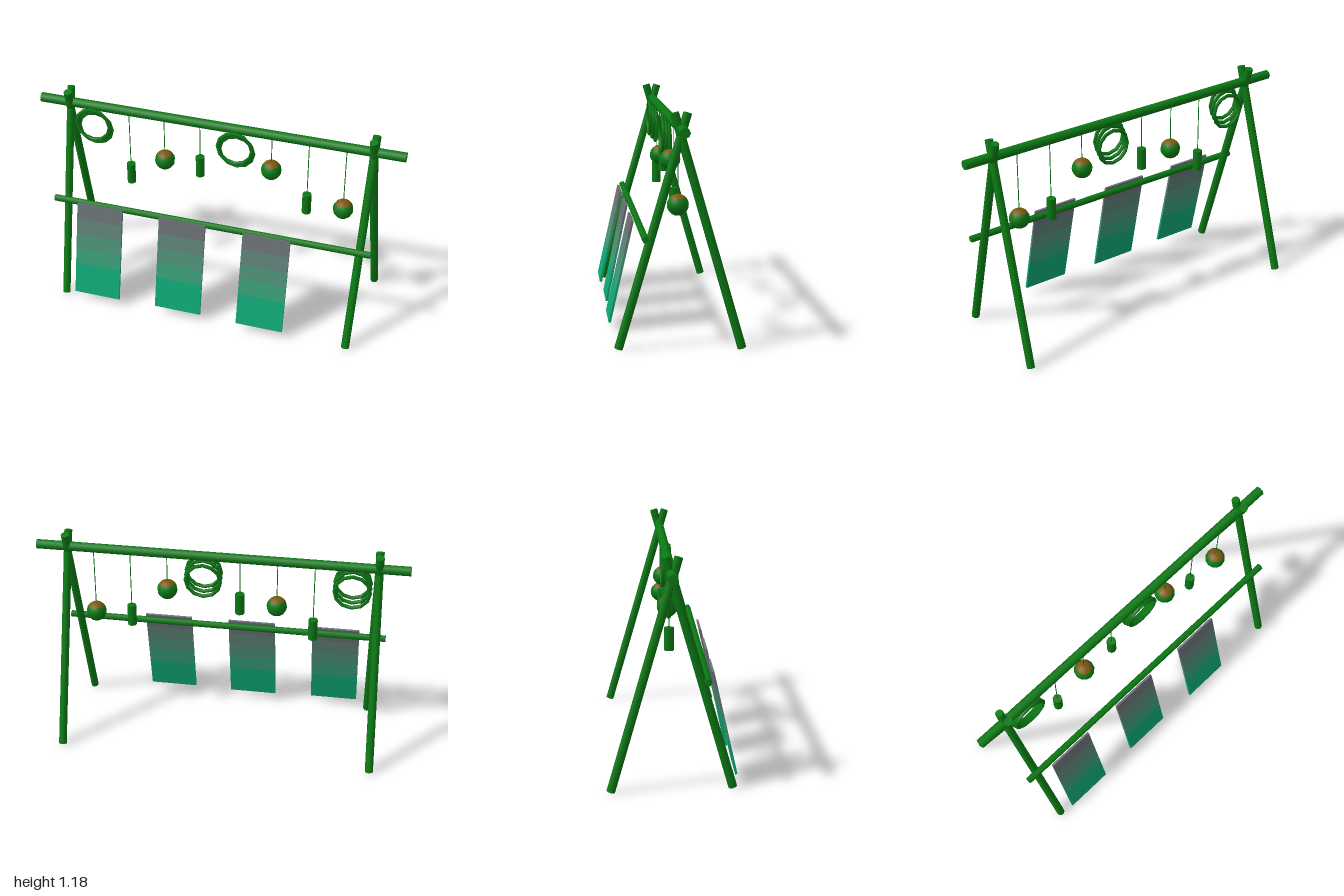
import * as THREE from 'three';

const GREEN = 0x0b7a14, BROWN = 0x7a5a10;
const AXIS_Z = -0.004; // plane of the ridge beam and its ornaments

const material = (color) => new THREE.MeshStandardMaterial({ color });
const wood = material(GREEN);

function add(parent, name, geometry, mat = wood) {
  const mesh = new THREE.Mesh(geometry, mat);
  mesh.name = name;
  parent.add(mesh);
  return mesh;
}

// Round pole between two points
function pole(parent, name, from, to, radius, sides = 8, mat = wood) {
  const a = new THREE.Vector3(...from), b = new THREE.Vector3(...to);
  const dir = b.clone().sub(a);
  const mesh = add(parent, name, new THREE.CylinderGeometry(radius, radius, dir.length(), sides), mat);
  mesh.position.copy(a).add(b).multiplyScalar(0.5);
  mesh.quaternion.setFromUnitVectors(new THREE.Vector3(0, 1, 0), dir.normalize());
  return mesh;
}

// Cord from the beam down to a hanging ornament
function cord(parent, x, y) {
  pole(parent, 'cord', [x, y, AXIS_Z], [x, 1.09, AXIS_Z], 0.0025, 5);
}

// Round ornament with a brown crown
function ball(parent, x, y) {
  const group = new THREE.Group();
  group.name = 'hangingBall';
  const r = 0.055, split = Math.PI * 0.28;
  add(group, 'ballBody', new THREE.SphereGeometry(r, 12, 7, 0, Math.PI * 2, split, Math.PI - split));
  add(group, 'ballCrown', new THREE.SphereGeometry(r, 12, 3, 0, Math.PI * 2, 0, split), material(BROWN));
  group.position.set(x, y, AXIS_Z);
  parent.add(group);
  cord(parent, x, y + r * 0.9);
}

// Small cylindrical ornament
function chime(parent, x, y) {
  pole(parent, 'hangingCylinder', [x, y - 0.06, AXIS_Z], [x, y + 0.06, AXIS_Z], 0.025, 8);
  cord(parent, x, y + 0.05);
}

// Bundle of three hoops, each lower and further back than the last
function hoops(parent, x) {
  const group = new THREE.Group();
  group.name = 'hoopBundle';
  for (let i = -1; i <= 1; i++) {
    const hoop = add(group, 'hoop', new THREE.TorusGeometry(0.094, 0.0105, 5, 12));
    hoop.position.set(0, -i * 0.02, -i * 0.018);
  }
  group.position.set(x, 0.967, 0.003);
  parent.add(group);
}

// Leaning cloth, shaded in bands from grey at the top to teal at the bottom
function cloth(parent, x, bottomZ) {
  const group = new THREE.Group();
  group.name = 'clothPanel';
  const width = 0.262, length = 0.547, bands = 6, h = length / bands;
  const top = new THREE.Color(0x6a7076), bottom = new THREE.Color(0x0fa877);
  for (let i = 0; i < bands; i++) {
    const color = top.clone().lerp(bottom, Math.min(1, i / (bands - 2)));
    const band = add(group, 'clothBand', new THREE.BoxGeometry(width, h, 0.012), material(color));
    band.position.y = length / 2 - (i + 0.5) * h;
  }
  group.position.set(x, 0.315, (0.204 + bottomZ) / 2);
  group.rotation.x = -Math.atan2(bottomZ - 0.204, 0.536);
  parent.add(group);
}

export function createModel() {
  const model = new THREE.Group();
  model.name = 'hangingRack';

  // Crossed leg pairs at each end
  for (const side of [-1, 1]) {
    const backX = side < 0 ? -0.86 : 0.848;
    pole(model, 'frontLeg', [side * 0.81, 0.006, 0.302], [side * 0.836, 1.175, -0.036], 0.022);
    pole(model, 'backLeg', [backX, 0.006, -0.308], [side * 0.832, 1.175, 0.028], 0.022);
  }

  // Ridge beam and lower front rail
  pole(model, 'ridgeBeam', [-1, 1.094, AXIS_Z - 0.003], [1, 1.094, AXIS_Z - 0.003], 0.026);
  pole(model, 'frontRail', [-0.89, 0.565, 0.172], [0.886, 0.565, 0.172], 0.018, 6);

  // Ornaments under the beam
  hoops(model, -0.7);
  hoops(model, 0.097);
  [[-0.302, 0.822], [0.293, 0.875], [0.692, 0.703]].forEach(([x, y]) => ball(model, x, y));
  [[-0.5, 0.696], [-0.102, 0.82], [0.493, 0.698]].forEach(([x, y]) => chime(model, x, y));

  // Cloths leaning from the rail
  [[-0.612, 0.326], [-0.141, 0.316], [0.33, 0.326]].forEach(([x, z]) => cloth(model, x, z));

  return model;
}
